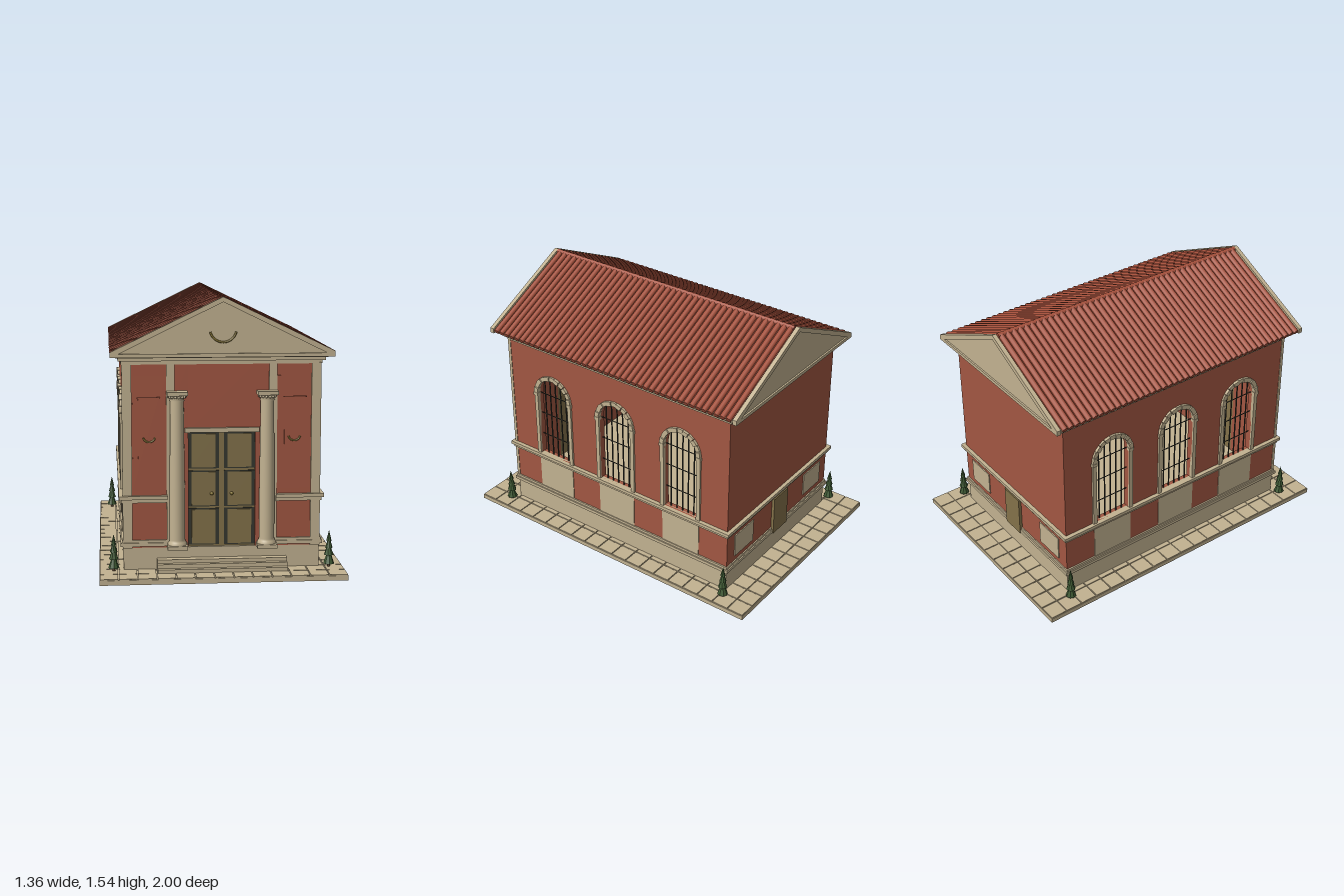
import * as THREE from 'three';
import { mergeGeometries } from 'three/addons/utils/BufferGeometryUtils.js';

const mat = (name, color, side = THREE.FrontSide) => {
  const m = new THREE.MeshStandardMaterial({ color, side });
  m.name = name;
  return m;
};

export function createModel() {
  const stone = mat('stone', 0xc2b291), red = mat('red plaster', 0xa25742);
  const tile = mat('roof tile', 0xa5503b), wood = mat('door wood', 0x83724a);
  const iron = mat('dark iron', 0x35362e), bronze = mat('bronze', 0x8a7838);
  const green = mat('foliage', 0x3f5a34), bark = mat('bark', 0x5a4330);
  const model = new THREE.Group();
  model.name = 'hall';

  // Box geometry from its limits
  const bx = (x0, x1, y0, y1, z0, z1) => new THREE.BoxGeometry(x1 - x0, y1 - y0, z1 - z0)
    .translate((x0 + x1) / 2, (y0 + y1) / 2, (z0 + z1) / 2);
  const add = (name, material, ...geos) => {
    const flat = geos.map((g) => (g.index ? g.toNonIndexed() : g));
    const mesh = new THREE.Mesh(flat.length > 1 ? mergeGeometries(flat) : flat[0], material);
    mesh.name = name;
    model.add(mesh);
    return mesh;
  };
  const both = (fn) => [-1, 1].flatMap((s) => fn(s));
  // Box mirrored in x, given for the positive side
  const pair = (x0, x1, ...r) => both((s) => (s > 0 ? bx(x0, x1, ...r) : bx(-x1, -x0, ...r)));
  const extrude = (shape, depth, curveSegments = 16) =>
    new THREE.ExtrudeGeometry(shape, { depth, bevelEnabled: false, curveSegments });
  const poly = (pts) => new THREE.Shape(pts.map((p) => new THREE.Vector2(...p)));

  // Pavement slab with a ring of paving tiles
  add('pavement', stone, bx(-0.68, 0.68, 0, 0.027, -1, 1));
  const paving = [];
  const nx = 13, nz = 19, tx = 1.36 / nx, tz = 2 / nz;
  for (let i = 0; i < nx; i++) for (let j = 0; j < nz; j++) {
    const x = -0.68 + i * tx, z = -1 + j * tz;
    if (x > -0.54 && x + tx < 0.54 && z > -0.79 && z + tz < 0.79) continue;
    paving.push(bx(x + 0.003, x + tx - 0.003, 0.027, 0.033, z + 0.003, z + tz - 0.003));
  }
  add('pavingTiles', stone, ...paving);

  // Plinth and front steps
  add('plinth', stone, bx(-0.545, 0.545, 0.027, 0.155, -0.795, 0.8));
  add('frontSteps', stone, bx(-0.36, 0.36, 0.027, 0.095, 0.8, 0.845),
    bx(-0.36, 0.36, 0.027, 0.075, 0.845, 0.872), bx(-0.36, 0.36, 0.027, 0.053, 0.872, 0.9));

  // Side walls with three arched openings
  const windowZ = [-0.47, 0, 0.47], R = 0.115, spring = 0.88, sill = 0.45;
  const side = poly([[-0.795, 0.155], [0.795, 0.155], [0.795, 1.18], [-0.795, 1.18]]);
  for (const z of windowZ) {
    const h = new THREE.Path();
    h.moveTo(z - R, sill).lineTo(z + R, sill).lineTo(z + R, spring);
    h.absarc(z, spring, R, 0, Math.PI, false);
    h.closePath();
    side.holes.push(h);
  }
  add('sideWalls', red, ...both((s) => extrude(side, 0.04).rotateY(Math.PI / 2)
    .translate(s > 0 ? 0.505 : -0.545, 0, 0)));
  add('backWall', red, bx(-0.545, 0.545, 0.155, 1.18, -0.797, -0.755));
  add('frontWall', red, ...pair(0.185, 0.545, 0.155, 1.18, 0.76, 0.8),
    bx(-0.185, 0.185, 0.8, 1.18, 0.76, 0.8));

  // Window surrounds, aprons and grilles
  const frames = [], aprons = [], bars = [];
  for (const zc of windowZ) {
    aprons.push(...pair(0.54, 0.549, 0.155, 0.415, zc - 0.13, zc + 0.13));
    for (const e of [-1, 1]) {
      const z = zc + e * 0.1275;
      frames.push(...pair(0.535, 0.557, sill, spring - 0.02, z - 0.0125, z + 0.0125),
        ...pair(0.535, 0.562, spring - 0.02, spring, z - 0.016, z + 0.016));
    }
    const n = 11;
    for (let i = 0; i < n; i++) {
      const a = (i * Math.PI) / n + 0.012, b = ((i + 1) * Math.PI) / n - 0.012;
      const v = new THREE.Shape();
      v.absarc(0, 0, 0.14, a, b, false);
      v.absarc(0, 0, R - 0.002, b, a, true);
      const depth = i % 2 ? 0.022 : 0.027;
      frames.push(...both((s) => extrude(v, depth, 3).rotateY(Math.PI / 2)
        .translate(s > 0 ? 0.535 : -0.535 - depth, spring, zc)));
    }
    for (const d of [-0.08, -0.04, 0, 0.04, 0.08]) {
      const top = spring + Math.sqrt(R * R - d * d);
      bars.push(...pair(0.523, 0.529, sill, top, zc + d - 0.003, zc + d + 0.003));
    }
    for (const y of [0.58, 0.73, 0.87])
      bars.push(...pair(0.524, 0.528, y - 0.002, y + 0.002, zc - R, zc + R));
  }
  add('windowSurrounds', stone, ...frames);
  add('windowAprons', stone, ...aprons);
  add('windowGrilles', iron, ...bars);

  // Stepped mouldings: sides, back, and front beside the columns
  const band = (y0, y1, out) => [
    ...pair(0.53, 0.545 + out, y0, y1, -0.795 - out, 0.8 + out),
    bx(-0.53, 0.53, y0, y1, -0.795 - out, -0.78),
    ...pair(0.3, 0.53, y0, y1, 0.78, 0.8 + out)];
  add('baseMoulding', stone, ...band(0.165, 0.185, 0.016), ...band(0.185, 0.2, 0.009));
  add('stringCourse', stone, ...band(0.41, 0.43, 0.012), ...band(0.43, 0.45, 0.024));

  // Front pilasters and hanging panels
  add('pilasters', stone, ...pair(0.495, 0.548, 0.155, 1.18, 0.79, 0.809),
    ...pair(0.26, 0.305, 0.155, 1.18, 0.79, 0.809));
  add('wallPanels', red, ...pair(0.305, 0.49, 0.48, 1.11, 0.8, 0.804));
  add('hangingPanels', red, ...pair(0.345, 0.46, 0.6, 0.99, 0.804, 0.809),
    ...pair(0.338, 0.467, 0.99, 0.996, 0.804, 0.812));
  const smile = (x, y, z, r, t) => new THREE.TorusGeometry(r, t, 6, 20, Math.PI * 0.86)
    .rotateZ(Math.PI * 1.07).translate(x, y, z);
  add('panelGarlands', bronze, ...both((s) => smile(s * 0.4, 0.782, 0.811, 0.033, 0.005)));

  // Double door
  add('doorLeaves', wood, bx(-0.185, 0.185, 0.155, 0.8, 0.765, 0.782));
  const rims = [], panels = [];
  for (const [y0, y1] of [[0.163, 0.37], [0.38, 0.582], [0.594, 0.795]]) {
    rims.push(...pair(0.014, 0.185, y0, y1, 0.78, 0.786));
    panels.push(...pair(0.033, 0.166, y0 + 0.007, y1 - 0.007, 0.784, 0.792));
  }
  add('doorRims', iron, ...rims);
  add('doorPanels', wood, ...panels);
  add('doorKnobs', bronze, ...both((s) => new THREE.SphereGeometry(0.01, 12, 8)
    .translate(s * 0.055, 0.455, 0.799)));
  add('doorLintel', stone, bx(-0.205, 0.205, 0.8, 0.825, 0.77, 0.818));

  // Columns: turned shaft, beaded neck, square base and abacus
  const profile = [[0.052, 0.175], [0.054, 0.184], [0.046, 0.194], [0.043, 0.205], [0.042, 0.5],
    [0.037, 0.975], [0.042, 0.98], [0.037, 0.986], [0.047, 1.012]].map((p) => new THREE.Vector2(...p));
  add('columns', stone, ...both((s) => {
    const x = s * 0.248, z = 0.823;
    const parts = [new THREE.LatheGeometry(profile, 28).translate(x, 0, z),
      bx(x - 0.056, x + 0.056, 0.155, 0.176, z - 0.05, z + 0.053),
      bx(x - 0.057, x + 0.057, 1.01, 1.03, z - 0.05, z + 0.054)];
    for (let i = 0; i < 14; i++) {
      const a = (i / 14) * Math.PI * 2;
      parts.push(new THREE.SphereGeometry(0.008, 6, 5)
        .translate(x + Math.cos(a) * 0.044, 1.0, z + Math.sin(a) * 0.044));
    }
    return parts;
  }));

  // Back door and back panels
  add('backDoor', wood, bx(-0.075, 0.075, 0.16, 0.41, -0.815, -0.79));
  add('backPanels', stone, ...pair(0.28, 0.47, 0.235, 0.38, -0.803, -0.79));

  // Cornice, also the ceiling
  [[1.175, 1.195, 0.552, 0.807], [1.195, 1.213, 0.568, 0.825], [1.213, 1.222, 0.58, 0.838],
    [1.222, 1.24, 0.6, 0.855]].forEach(([y0, y1, x, z]) =>
    add('cornice', stone, bx(-x, x, y0, y1, -z, z)));

  // Pediments: raised rim around a recessed gable
  const rim = poly([[-0.61, 1.22], [0.61, 1.22], [0.61, 1.25], [0, 1.545], [-0.61, 1.25]]);
  rim.holes.push(poly([[-0.565, 1.24], [0, 1.517], [0.565, 1.24]]));
  const gable = poly([[-0.585, 1.23], [0.585, 1.23], [0, 1.525]]);
  add('pedimentRims', stone, extrude(rim, 0.025).translate(0, 0, 0.86),
    extrude(rim, 0.025).translate(0, 0, -0.875));
  add('gables', stone, extrude(gable, 0.03).translate(0, 0, 0.845),
    extrude(gable, 0.03).translate(0, 0, -0.865));
  add('pedimentGarland', bronze, smile(0, 1.373, 0.879, 0.072, 0.006));

  // Roof slopes with rows of round tiles and a ridge cap
  const section = poly([[-0.607, 1.235], [0.607, 1.235], [0, 1.527]]);
  add('roofBody', tile, extrude(section, 1.7).translate(0, 0, -0.84));
  const rows = 43, z0 = -0.84, step = 1.7 / rows;
  const len = Math.hypot(0.607, 0.292), slope = Math.atan2(0.292, 0.607);
  const ribs = [], caps = [];
  for (let i = 0; i < rows; i++) {
    const z = z0 + (i + 0.5) * step;
    ribs.push(...both((s) => new THREE.CylinderGeometry(0.0165, 0.0165, len, 10)
      .rotateZ(Math.PI / 2 - s * slope).translate(s * 0.3035, 1.381, z)));
    caps.push(new THREE.CylinderGeometry(0.017, 0.014, step, 10).rotateX(Math.PI / 2)
      .translate(0, 1.528, z));
  }
  add('roofTiles', tile, ...ribs);
  add('ridgeCaps', tile, ...caps);

  // Small conifers at the corners
  const foliage = [], trunks = [];
  for (const x of [-0.6, 0.6]) for (const z of [-0.81, 0.82]) {
    trunks.push(new THREE.CylinderGeometry(0.007, 0.009, 0.04, 6).translate(x, 0.047, z));
    [[0.031, 0.09, 0.095], [0.027, 0.08, 0.14], [0.021, 0.07, 0.175], [0.015, 0.06, 0.21]]
      .forEach(([r, h, y], i) => foliage.push(new THREE.ConeGeometry(r, h, 8)
        .rotateY(i * 0.4).translate(x, y, z).toNonIndexed()));
  }
  foliage.forEach((g) => g.computeVertexNormals());
  add('treeFoliage', green, ...foliage);
  add('treeTrunks', bark, ...trunks);
  return model;
}
